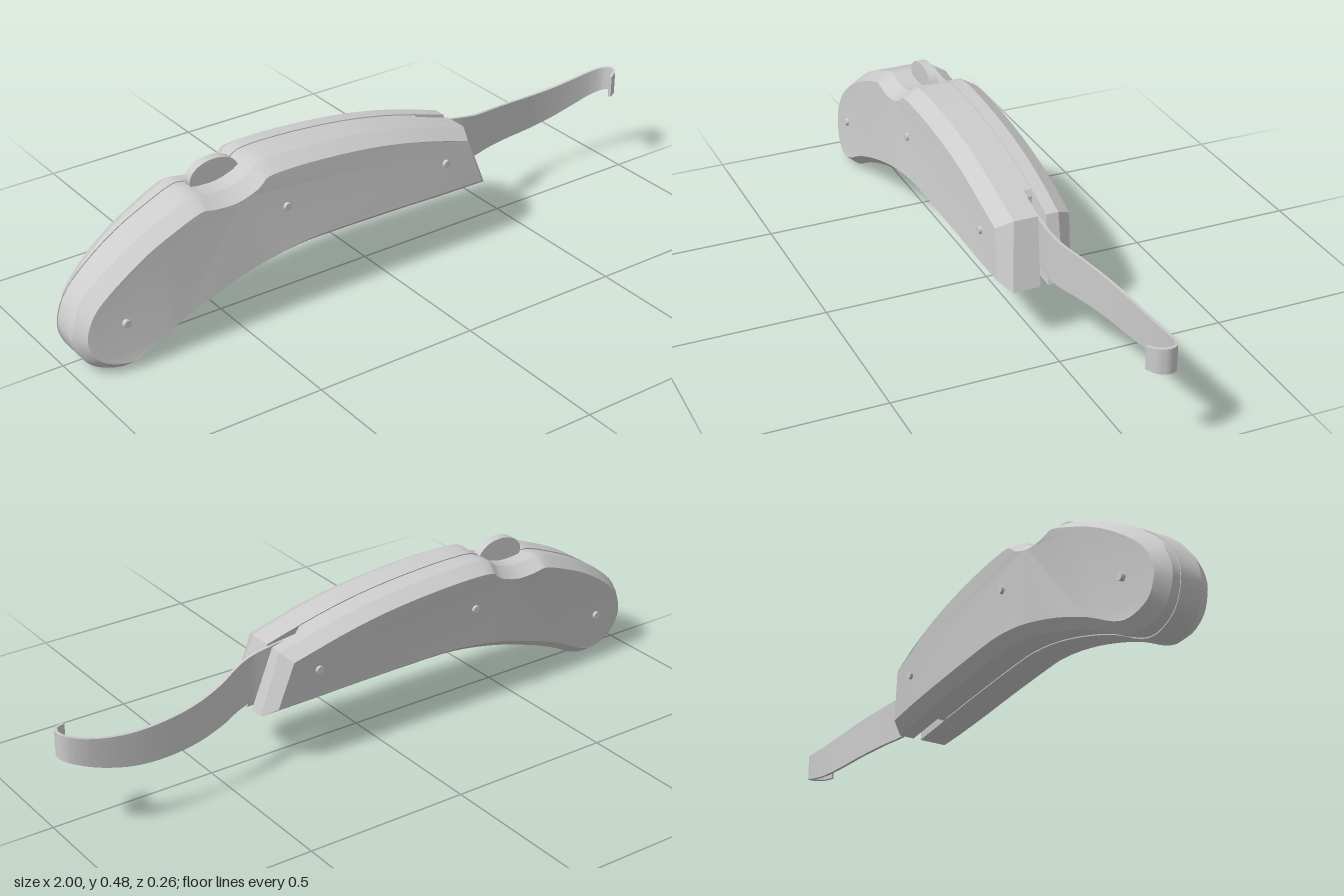
import * as THREE from 'three';
import { toCreasedNormals } from 'three/addons/utils/BufferGeometryUtils.js';

const material = new THREE.MeshStandardMaterial({ color: 0xcccccc });

function addMesh(group, name, geometry) {
  const mesh = new THREE.Mesh(geometry, material);
  mesh.name = name;
  group.add(mesh);
  return mesh;
}

// Piecewise linear lookup in [[x, value], ...]
function lookup(table, x) {
  for (let i = 1; i < table.length; i++) {
    const [x0, v0] = table[i - 1], [x1, v1] = table[i];
    if (x <= x1) return THREE.MathUtils.lerp(v0, v1, Math.max(0, (x - x0) / (x1 - x0)));
  }
  return table[table.length - 1][1];
}

// Handle half thickness towards the front and the back, and its slight lean
const FRONT = [[-1, 0.088], [-0.85, 0.104], [-0.6, 0.112], [-0.4, 0.115], [0.2, 0.114], [0.38, 0.108]];
const BACK = [[-1, -0.066], [-0.85, -0.09], [-0.6, -0.112], [-0.4, -0.118], [0.2, -0.117], [0.38, -0.112]];
const lean = (y) => -0.1 * (y - 0.27);

// Side outline, counter-clockwise from the top of the open end, with a thumb scoop
function handleOutline() {
  const p = [
    [0.315, 0.362], [0.15, 0.408], [0, 0.438], [-0.15, 0.455], [-0.3, 0.463], [-0.4, 0.458],
    [-0.44, 0.43], [-0.5, 0.412], [-0.56, 0.413], [-0.61, 0.418], [-0.7, 0.385], [-0.8, 0.338],
    [-0.9, 0.272], [-0.97, 0.205], [-1, 0.125], [-0.98, 0.06], [-0.94, 0.022], [-0.87, 0.003],
    [-0.8, 0.018], [-0.7, 0.07], [-0.58, 0.118], [-0.44, 0.16], [-0.3, 0.184], [-0.15, 0.187],
    [0.1, 0.183], [0.375, 0.174],
  ].map(([x, y]) => new THREE.Vector2(x, y));
  return new THREE.SplineCurve(p).getPoints((p.length - 1) * 3);
}

// Moves a closed outline inwards with mitred corners
function inset(points, d) {
  const n = points.length;
  const inward = (a, b) => new THREE.Vector2(a.y - b.y, b.x - a.x).normalize();
  return points.map((p, i) => {
    const a = inward(points[(i + n - 1) % n], p), b = inward(p, points[(i + 1) % n]);
    const k = d / (1 + a.dot(b));
    return new THREE.Vector2(p.x + (a.x + b.x) * k, p.y + (a.y + b.y) * k);
  });
}

// Joins rings of equal length, ordered from back to front, and caps both ends
function layer(rings) {
  const n = rings[0].length, last = (rings.length - 1) * n, index = [];
  for (let r = 0; r < rings.length - 1; r++) {
    for (let i = 0; i < n; i++) {
      const j = (i + 1) % n, a = r * n, b = a + n;
      index.push(a + i, a + j, b + j, a + i, b + j, b + i);
    }
  }
  const cap = (ring) => THREE.ShapeUtils.triangulateShape(ring.map((p) => new THREE.Vector2(p.x, p.y)), []);
  cap(rings[0]).forEach(([a, b, c]) => index.push(a, c, b));
  cap(rings[rings.length - 1]).forEach(([a, b, c]) => index.push(last + a, last + b, last + c));
  const geometry = new THREE.BufferGeometry().setFromPoints(rings.flat());
  geometry.setIndex(index);
  return toCreasedNormals(geometry, 0.35);
}

// Places a flat outline at a depth given by a rule of x and y
const ringAt = (points, depth) =>
  points.map((p) => new THREE.Vector3(p.x, p.y, depth(p.x, p.y) + lean(p.y)));

// Ribbon between a lower and an upper edge curve
function ribbon(stations, thickness, steps) {
  const edge = (k) => new THREE.CatmullRomCurve3(
    stations.map((s) => new THREE.Vector3(s[0], s[k], s[1])));
  const low = edge(2), high = edge(3), points = [], index = [];
  for (let i = 0; i <= steps; i++) {
    const t = i / steps, a = low.getPoint(t), b = high.getPoint(t), d = low.getTangent(t);
    const side = new THREE.Vector3(-d.z, 0, d.x).normalize().multiplyScalar(thickness / 2);
    points.push(a.clone().sub(side), a.clone().add(side), b.clone().add(side), b.clone().sub(side));
  }
  for (let i = 0; i < steps; i++) {
    for (let k = 0; k < 4; k++) {
      const a = i * 4 + k, b = i * 4 + (k + 1) % 4;
      index.push(a, a + 4, b + 4, a, b + 4, b);
    }
  }
  const e = steps * 4;
  index.push(0, 1, 2, 0, 2, 3, e, e + 2, e + 1, e, e + 3, e + 2);
  const geometry = new THREE.BufferGeometry().setFromPoints(points);
  geometry.setIndex(index);
  return toCreasedNormals(geometry, 0.6);
}

export function createModel() {
  const model = new THREE.Group();
  model.name = 'foldingTool';

  // Two bevelled handle shells with a slot between them
  const outline = handleOutline(), face = inset(outline, 0.026);
  const slotBack = -0.032, slotFront = -0.008;
  const bevel = (x, y) => (y < 0.19 ? 0.034 : 0.045);
  addMesh(model, 'frontShell', layer([
    ringAt(outline, () => slotFront),
    ringAt(outline, (x, y) => lookup(FRONT, x) - bevel(x, y)),
    ringAt(face, (x) => lookup(FRONT, x)),
  ]));
  addMesh(model, 'backShell', layer([
    ringAt(face, (x) => lookup(BACK, x)),
    ringAt(outline, (x, y) => lookup(BACK, x) + bevel(x, y)),
    ringAt(outline, () => slotBack),
  ]));

  // Spine filling the slot up to the blade
  const core = inset(outline, 0.003).map((p) => new THREE.Vector2(Math.min(p.x, 0.22), p.y));
  addMesh(model, 'spine', layer([ringAt(core, () => slotBack), ringAt(core, () => slotFront)]));

  // Thumb button in the scoop
  const button = new THREE.CylinderGeometry(0.078, 0.078, 0.028, 40);
  button.rotateX(Math.PI / 2);
  button.scale(1, 0.65, 1);
  addMesh(model, 'thumbButton', button).position.set(-0.502, 0.429, -0.017);

  // Rivets on both faces
  for (const [x, y] of [[-0.86, 0.145], [-0.34, 0.33], [0.21, 0.295]]) {
    for (const [name, table] of [['frontRivet', FRONT], ['backRivet', BACK]]) {
      const side = Math.sign(table[0][1]);
      const rivet = new THREE.CylinderGeometry(0.011, 0.013, 0.02, 16);
      rivet.rotateX(side * Math.PI / 2);
      addMesh(model, name, rivet).position.set(x, y, lookup(table, x) + lean(y) - side * 0.003);
    }
  }

  // Curved blade strip ending in a hook: x, z, lower y, upper y
  addMesh(model, 'bladeStrip', ribbon([
    [0.21, -0.02, 0.225, 0.37], [0.32, -0.02, 0.21, 0.355], [0.38, -0.022, 0.203, 0.344],
    [0.43, -0.034, 0.196, 0.331], [0.5, -0.064, 0.187, 0.313], [0.6, -0.094, 0.178, 0.296],
    [0.7, -0.109, 0.176, 0.287], [0.8, -0.115, 0.185, 0.286], [0.89, -0.112, 0.207, 0.296],
    [0.95, -0.102, 0.228, 0.309], [0.985, -0.084, 0.242, 0.319], [0.996, -0.062, 0.248, 0.323],
    [0.987, -0.036, 0.25, 0.323], [0.957, -0.018, 0.25, 0.318],
  ], 0.009, 90));

  return model;
}
